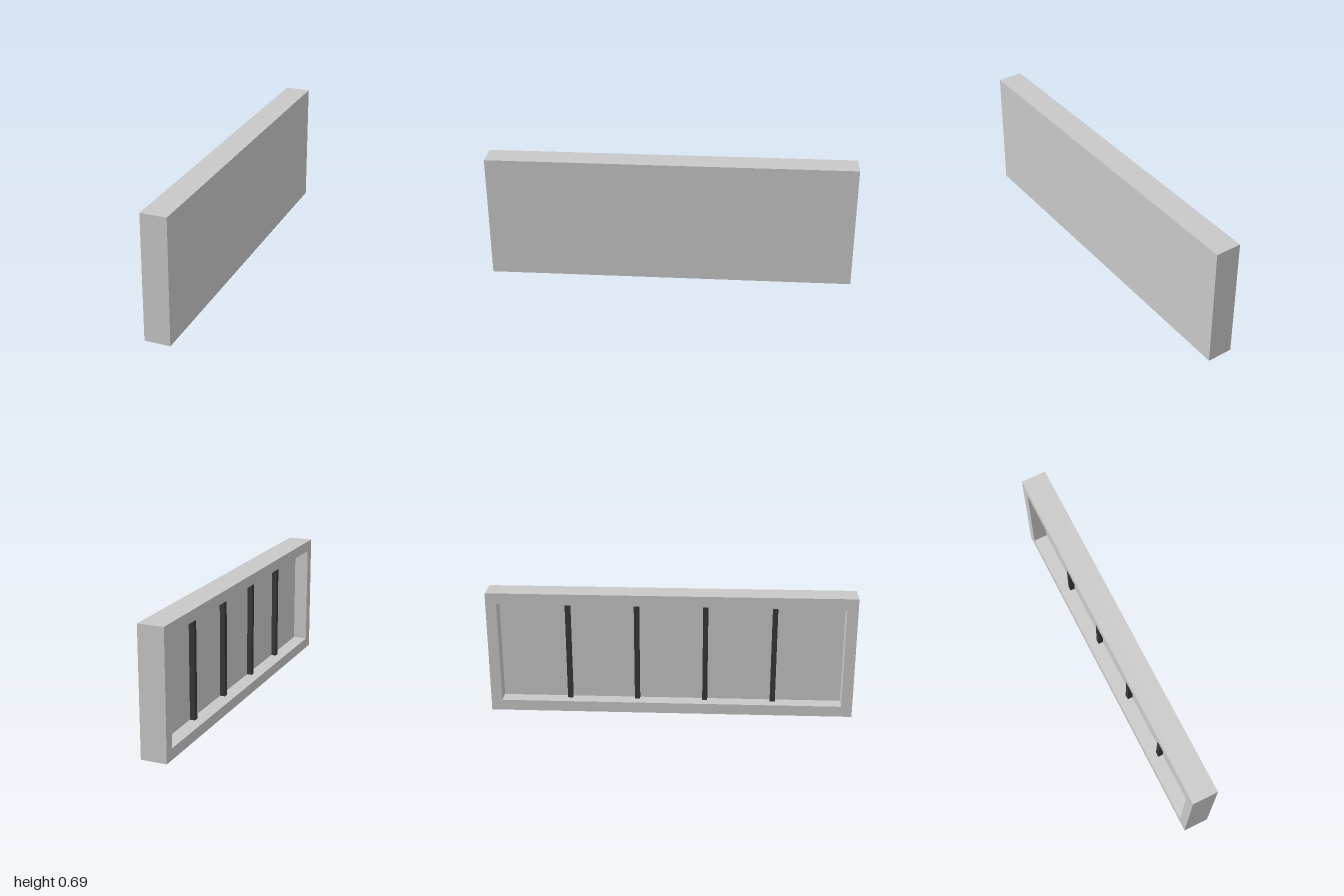
import * as THREE from 'three';

export function createModel() {
  const model = new THREE.Group();
  model.name = 'framedWindowPanel';

  const grey = new THREE.MeshStandardMaterial({ name: 'light grey', color: 0xc8c8c8 });
  const dark = new THREE.MeshStandardMaterial({ name: 'charcoal', color: 0x383838 });

  const H = 0.686, L = 2, X = 0.07;    // height, length, half thickness
  const B = 0.06;                      // border width
  const panelX = 0.01;                 // depth at which the recess ends

  function box(name, material, x0, x1, y0, y1, z0, z1) {
    const mesh = new THREE.Mesh(new THREE.BoxGeometry(x1 - x0, y1 - y0, z1 - z0), material);
    mesh.position.set((x0 + x1) / 2, (y0 + y1) / 2, (z0 + z1) / 2);
    mesh.name = name;
    model.add(mesh);
  }

  // Surrounding frame: two long rails and two end posts
  box('bottomRail', grey, -X, X, 0, B, -L / 2, L / 2);
  box('topRail', grey, -X, X, H - B, H, -L / 2, L / 2);
  box('backPost', grey, -X, X, B, H - B, -L / 2, -L / 2 + B);
  box('frontPost', grey, -X, X, B, H - B, L / 2 - B, L / 2);

  // Solid panel closing the +x side, flush with the frame
  box('panel', grey, panelX, X, B, H - B, -L / 2 + B, L / 2 - B);

  // Four dark bars dividing the recess into five equal bays
  const bay = (L - 2 * B) / 5;
  for (let i = 0; i < 4; i++) {
    const z = (i - 1.5) * bay;
    box('dividerBar' + (i + 1), dark, panelX - 0.028, panelX, B, H - B, z - 0.014, z + 0.014);
  }

  return model;
}
